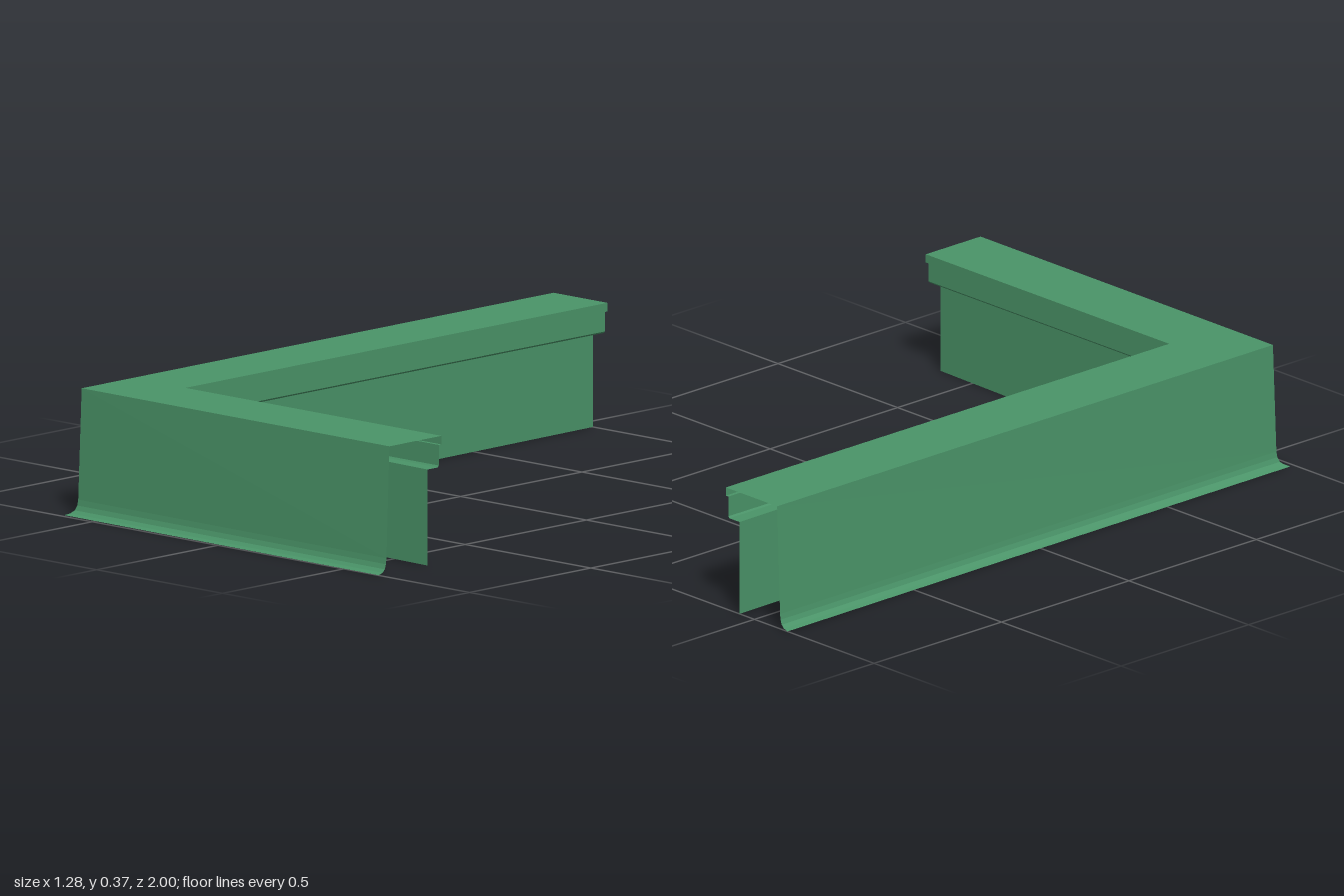
import * as THREE from 'three';

// Folded-sheet cross-section: [offset outward at the corner, offset at the open ends, height]
const PROFILE = [
  [0.245, 0.258, 0.0],   // flared foot
  [0.233, 0.243, 0.005],
  [0.224, 0.234, 0.014],
  [0.219, 0.229, 0.028],
  [0.217, 0.227, 0.045], // outer wall
  [0.210, 0.215, 0.37],  // top
  [0.0, 0.0, 0.37],      // inner lip
  [0.0, 0.0, 0.345],
  [0.011, 0.011, 0.345], // recessed band
  [0.011, 0.011, 0.285],
  [0.015, 0.015, 0.28],  // underside of the band
  [0.028, 0.058, 0.28],  // inner panel
  [0.028, 0.058, 0.0],
];

const INNER_X = -0.38, INNER_Z = 0.74, END_X = 0.638, END_Z = -1;

// Cross-sections at the front arm's end, the mitred corner and the back arm's end
const frontEnd = PROFILE.map(([, e, y]) => [END_X, y, INNER_Z + e]);
const corner = PROFILE.map(([c, , y]) => [INNER_X - c, y, INNER_Z + c]);
const backEnd = PROFILE.map(([, e, y]) => [INNER_X - e, y, END_Z]);

// Join two cross-sections with flat-faced strips
function loft(a, b) {
  const pos = [];
  for (let i = 0; i < a.length - 1; i++) {
    for (const p of [a[i], a[i + 1], b[i + 1], a[i], b[i + 1], b[i]]) pos.push(...p);
  }
  const geo = new THREE.BufferGeometry();
  geo.setAttribute('position', new THREE.Float32BufferAttribute(pos, 3));
  geo.computeVertexNormals();
  return geo;
}

export function createModel() {
  const group = new THREE.Group();
  group.name = 'cornerTrim';
  const material = new THREE.MeshStandardMaterial({ color: 0x4a9468, side: THREE.DoubleSide });
  const addArm = (name, a, b) => {
    const mesh = new THREE.Mesh(loft(a, b), material);
    mesh.name = name;
    group.add(mesh);
  };
  addArm('frontArm', frontEnd, corner);
  addArm('sideArm', corner, backEnd);
  return group;
}
